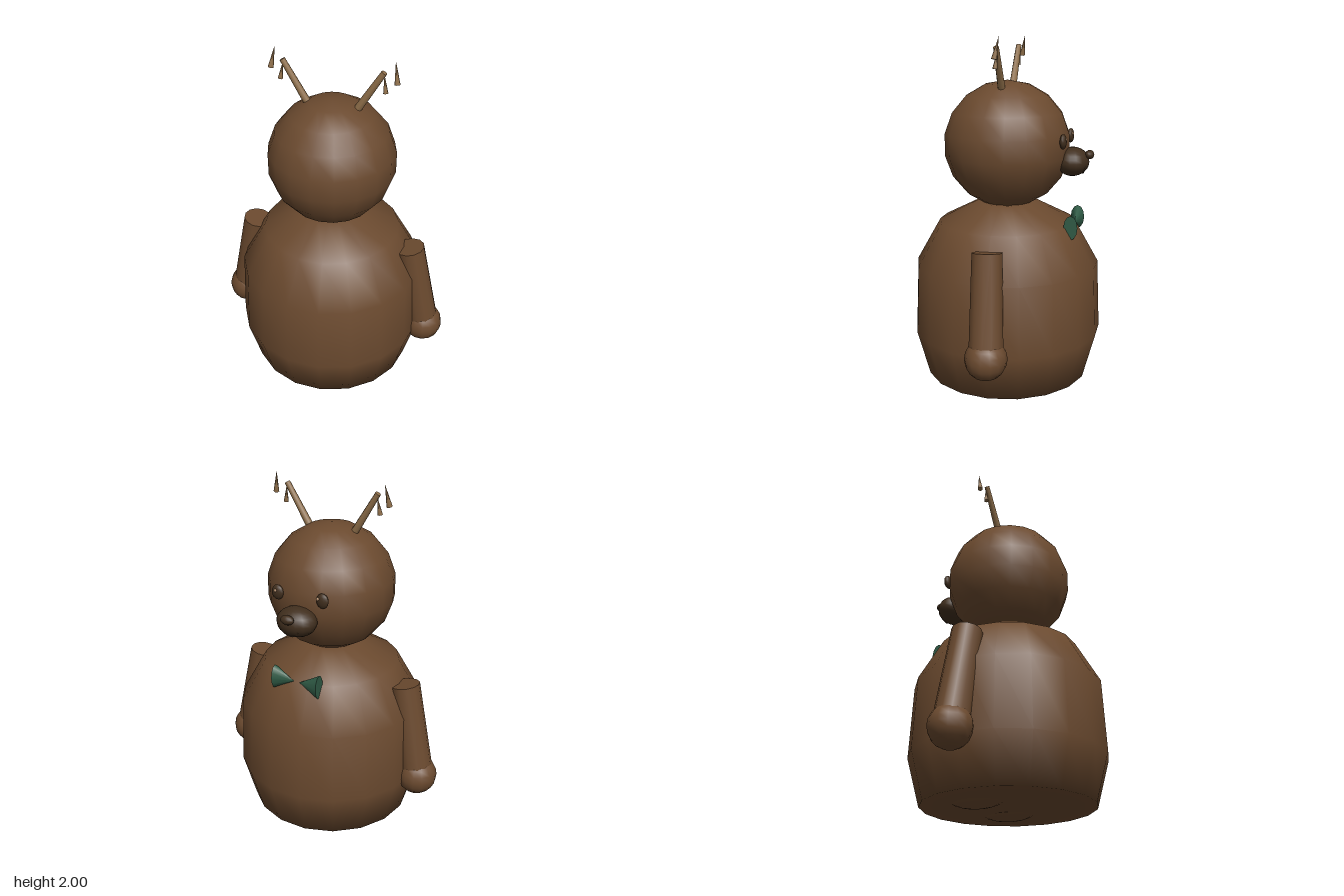
import * as THREE from 'three';

const mat = (name, color) => {
  const m = new THREE.MeshStandardMaterial({ color });
  m.name = name;
  return m;
};

export function createModel() {
  const fur = mat('brown fur', 0x6b4a2f);
  const dark = mat('dark brown', 0x412f1e);
  const antlerTan = mat('antler tan', 0x8f6f4a);
  const green = mat('bow green', 0x2f5a45);
  const shine = mat('eye shine', 0xb08a68);

  const model = new THREE.Group();
  model.name = 'antleredToy';

  const add = (name, geometry, material, x = 0, y = 0, z = 0) => {
    const mesh = new THREE.Mesh(geometry, material);
    mesh.name = name;
    mesh.position.set(x, y, z);
    model.add(mesh);
    return mesh;
  };
  const ellipsoid = (name, material, pos, radii, w = 16, h = 12) => {
    const mesh = add(name, new THREE.SphereGeometry(1, w, h), material, ...pos);
    mesh.scale.set(...radii);
    return mesh;
  };
  // Tapered rod between two points, r0 at the start and r1 at the end
  const rod = (name, material, a, b, r0, r1, sides) => {
    const start = new THREE.Vector3(...a), dir = new THREE.Vector3(...b).sub(start);
    const mesh = add(name, new THREE.CylinderGeometry(r1, r0, dir.length(), sides), material);
    mesh.position.copy(start).addScaledVector(dir, 0.5);
    mesh.quaternion.setFromUnitVectors(new THREE.Vector3(0, 1, 0), dir.normalize());
    return mesh;
  };

  // Rounded body, closed at the base and the neck
  const profile = [[0, 0.03], [0.48, 0.03], [0.552, 0.295], [0.534, 0.7], [0.396, 0.945], [0.17, 1.06], [0, 1.06]]
    .map(([r, y]) => new THREE.Vector2(r, y));
  add('body', new THREE.LatheGeometry(profile, 18, Math.PI / 2), fur);

  // Head
  add('head', new THREE.SphereGeometry(0.365, 18, 9), fur, 0, 1.39, 0).rotation.y = Math.PI / 2;

  // Muzzle, nose and smile, facing -z
  ellipsoid('muzzle', dark, [0, 1.303, -0.38], [0.115, 0.082, 0.095]);
  ellipsoid('nose', dark, [0, 1.345, -0.476], [0.04, 0.026, 0.026], 12, 8);
  const mouth = add('mouth', new THREE.TorusGeometry(0.048, 0.006, 6, 12, Math.PI), dark, 0, 1.285, -0.458);
  mouth.rotation.set(-0.4, 0, Math.PI);

  for (const s of [1, -1]) {
    const side = s > 0 ? 'left' : 'right';

    // Arms and hands
    rod(side + 'Arm', fur, [s * 0.583, 0.315, -0.018], [s * 0.476, 0.874, 0], 0.097, 0.085, 12);
    add(side + 'Hand', new THREE.SphereGeometry(0.117, 14, 10), fur, s * 0.583, 0.315, -0.018);

    // Feet peeping out under the body
    ellipsoid(side + 'Foot', fur, [s * 0.18, 0.085, -0.09], [0.145, 0.082, 0.19]);

    // Eyes with a small highlight
    ellipsoid(side + 'Eye', dark, [s * 0.138, 1.432, -0.346], [0.036, 0.042, 0.02], 12, 8);
    ellipsoid(side + 'EyeShine', shine, [s * 0.13 + 0.012, 1.445, -0.362], [0.009, 0.009, 0.007], 8, 6);

    // Antlers with two loose pointed tines each
    rod(side + 'Antler', antlerTan, [s * 0.132, 1.7, 0], [s * 0.278, 1.94, -0.004], 0.022, 0.016, 8);
    rod(side + 'InnerTine', antlerTan, [s * 0.291, 1.828, 0], [s * 0.277, 1.925, -0.012], 0.014, 0, 6);
    rod(side + 'OuterTine', antlerTan, [s * 0.348, 1.88, -0.01], [s * 0.328, 2, -0.032], 0.016, 0, 6);

    // Bow tie wings, points meeting at the middle
    const wing = add(side + 'BowWing', new THREE.ConeGeometry(0.07, 0.125, 12), green, s * 0.079, 0.947, -0.395);
    wing.rotation.z = s * Math.PI / 2;
    wing.scale.z = 0.57;
  }
  return model;
}
